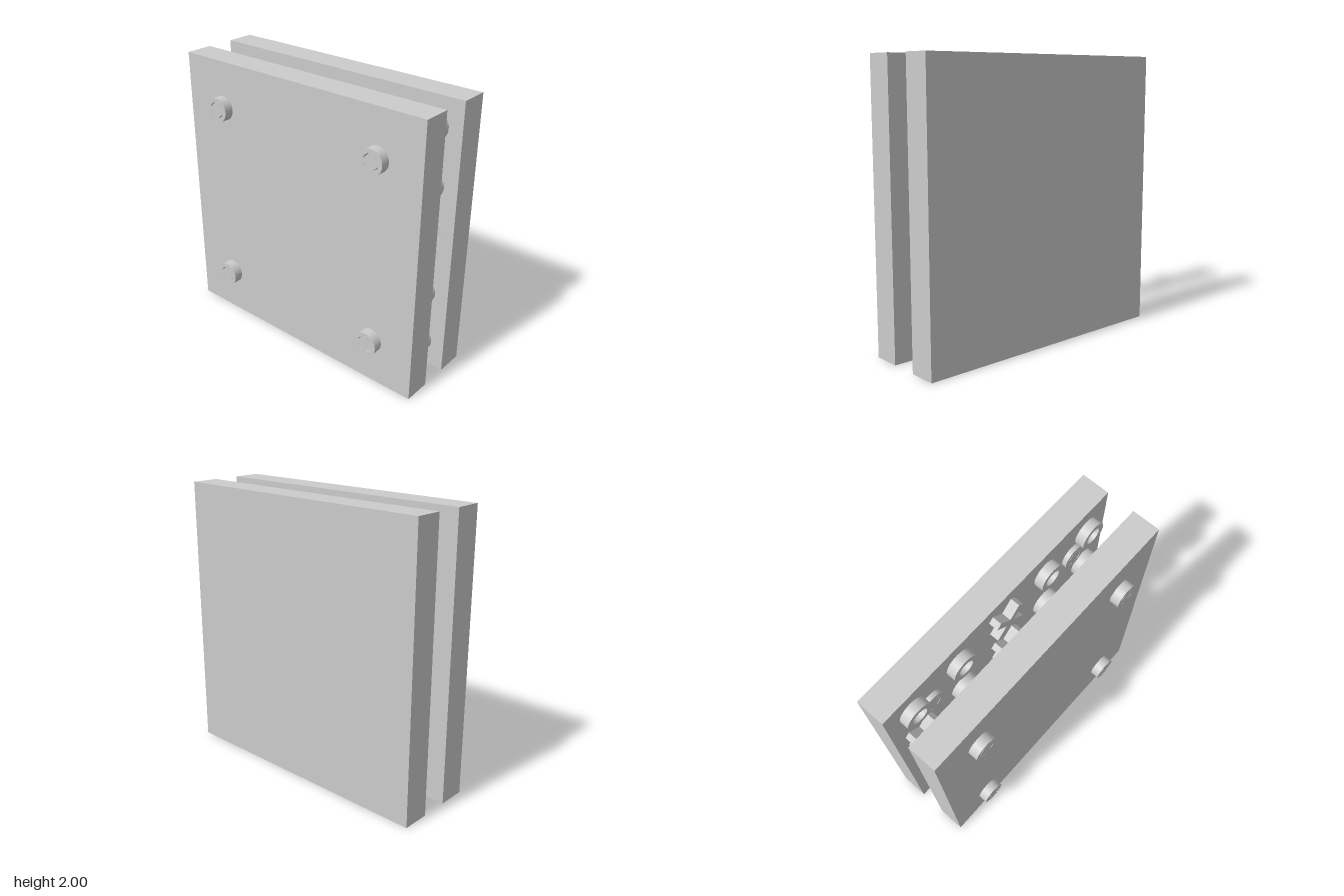
import * as THREE from 'three';

export function createModel() {
  const model = new THREE.Group();
  const material = new THREE.MeshStandardMaterial({ color: 0xcccccc });

  function add(name, geometry, x, y, z, parent = model) {
    const mesh = new THREE.Mesh(geometry, material);
    mesh.name = name;
    mesh.position.set(x, y, z);
    parent.add(mesh);
    return mesh;
  }
  const disc = (r) => new THREE.Shape().absarc(0, 0, r, 0, Math.PI * 2, false);
  const extrude = (shape, depth) =>
    new THREE.ExtrudeGeometry(shape, { depth, bevelEnabled: false, curveSegments: 24 });

  // Two square slabs joined by a block
  add('frontPlate', new THREE.BoxGeometry(2, 2, 0.2), 0, 1, 0.167);
  add('backPlate', new THREE.BoxGeometry(2, 2, 0.2), 0, 1, -0.233);
  add('connectorBlock', new THREE.BoxGeometry(0.333, 0.333, 0.2), 0.6, 0.8, -0.033);

  // Round screw head with four quadrant openings around a cross
  const headShape = disc(0.087);
  const gap = 0.014, inner = 0.058;
  const start = Math.asin(gap / inner);
  for (let q = 0; q < 4; q++) {
    const turn = (q * Math.PI) / 2;
    const corner = new THREE.Vector2(gap, gap).rotateAround(new THREE.Vector2(), turn);
    const hole = new THREE.Path();
    hole.moveTo(corner.x, corner.y);
    hole.absarc(0, 0, inner, turn + start, turn + Math.PI / 2 - start, false);
    hole.closePath();
    headShape.holes.push(hole);
  }
  const frontHead = extrude(headShape, 0.0667);
  const backHead = extrude(headShape, 0.0333);
  for (const x of [-0.667, 0.667]) {
    for (const y of [0.333, 1.667]) {
      add('frontScrew', frontHead, x, y, 0.267);
      add('innerScrew', backHead, x, y, -0.133);
    }
  }

  // Raised rings and crosses on the inner face of the back plate
  const ringShape = disc(0.1);
  ringShape.holes.push(disc(0.06));
  const ring = extrude(ringShape, 0.0667);
  const bar = new THREE.BoxGeometry(0.28, 0.05, 0.0667);
  const rows = ['oo+oo', '+o+oo', 'o+oo+', '  +oo', '  +oo'];
  rows.forEach((row, j) => [...row].forEach((mark, i) => {
    const x = -0.8 + 0.4 * i, y = 1.8 - 0.4 * j;
    if (mark === 'o') add('raisedRing', ring, x, y, -0.133);
    if (mark === '+') {
      const cross = new THREE.Group();
      cross.name = 'raisedCross';
      cross.position.set(x, y, -0.1);
      for (const s of [-1, 1]) add('crossBar', bar, 0, 0, 0, cross).rotation.z = (s * Math.PI) / 4;
      model.add(cross);
    }
  }));

  // Slanted raised strip in the lower corner
  add('raisedStrip', new THREE.BoxGeometry(0.62, 0.06, 0.0667), -0.41, 0.27, -0.1).rotation.z = -0.67;

  return model;
}
